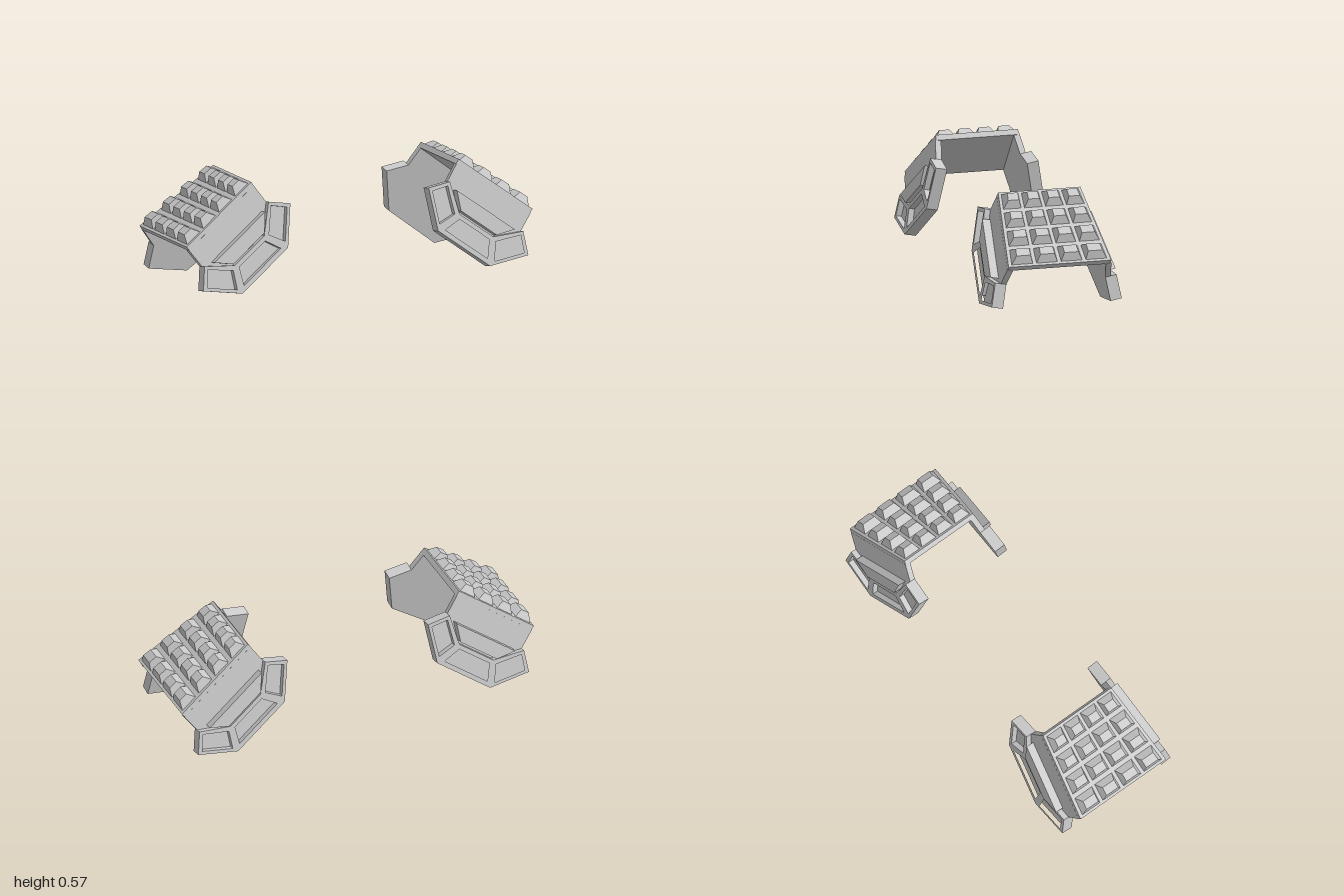
import * as THREE from 'three';

const material = new THREE.MeshStandardMaterial({ color: 0xcccccc, flatShading: true });
const LEAN = 0.187; // outward lean of the side walls
const DIR = [0.805, -0.593]; // slope of the top plate in x, y

// Plate coordinates (along slope u, outward n) to x, y
const toXY = (u, n) => [0.8 + DIR[0] * u - DIR[1] * n, 0.4175 + DIR[1] * u + DIR[0] * n];
const halfWidth = (y) => 0.3265 - LEAN * y;

function addMesh(parent, geometry, name) {
  const mesh = new THREE.Mesh(geometry, material);
  mesh.name = name;
  parent.add(mesh);
}

// Closed block between two four-cornered rings
function block(a, b) {
  const pos = [];
  const quad = (p, q, r, s) => pos.push(...p, ...q, ...r, ...p, ...r, ...s);
  for (let i = 0; i < 4; i++) {
    const j = (i + 1) % 4;
    quad(a[i], a[j], b[j], b[i]);
  }
  quad(...b);
  quad(a[3], a[2], a[1], a[0]);
  const g = new THREE.BufferGeometry();
  g.setAttribute('position', new THREE.Float32BufferAttribute(pos, 3));
  g.computeVertexNormals();
  return g;
}

// Ring at height n; z limits are fractions of the tapering plate width plus a margin
function ring(u0, u1, n, f0, f1, margin) {
  const corner = (u, f, m) => {
    const [x, y] = toXY(u, n);
    return [x, y, f * halfWidth(y) + m];
  };
  return [corner(u0, f0, margin), corner(u0, f1, -margin), corner(u1, f1, -margin), corner(u1, f0, margin)];
}

// Half outlines given for u > 0 are completed by mirroring
const mirrored = (half) => [...half, ...half.map(([u, n]) => [-u, n]).reverse()];
const flip = (pts) => pts.map(([u, n]) => [-u, n]);

const WALL = mirrored([[0.248, -0.02], [0.247, -0.13], [0.335, -0.22], [0.175, -0.38]]);
const FRAME = mirrored([[0.113, -0.243], [0.247, -0.13], [0.335, -0.22], [0.175, -0.38]]);
const PANEL = mirrored([[0.195, -0.15], [0.12, -0.228]]);
const END_WINDOW = [[0.245, -0.155], [0.308, -0.222], [0.185, -0.345], [0.137, -0.257]];
const MID_WINDOW = mirrored([[0.1, -0.266], [0.142, -0.355]]);

// Leaning slab from depth w0 to w1, on the front (side 1) or back (side -1)
function slab(outline, holes, w0, w1, side) {
  const points = (pts) => pts.map(([u, n]) => {
    const [x, y] = toXY(u, n);
    return new THREE.Vector2(side * x, y);
  });
  const shape = new THREE.Shape(points(outline));
  for (const hole of holes) shape.holes.push(new THREE.Path(points(hole)));
  const g = new THREE.ExtrudeGeometry(shape, { depth: w1 - w0, bevelEnabled: false });
  g.translate(0, 0, w0);
  g.applyMatrix4(new THREE.Matrix4().set(
    1, 0, 0, 0,
    0, 1, LEAN, -0.008,
    0, -LEAN, 1, 0.2975,
    0, 0, 0, 1));
  if (side < 0) g.rotateY(Math.PI);
  g.computeVertexNormals();
  return g;
}

function createGuard(name) {
  const guard = new THREE.Group();
  guard.name = name;

  // Sloping top plate
  addMesh(guard, block(ring(-0.248, 0.248, -0.03, -1, 1, 0), ring(-0.248, 0.248, 0, -1, 1, 0)), 'topPlate');

  // Four by four grid of tapered studs
  for (let row = 0; row < 4; row++) {
    for (let col = 0; col < 4; col++) {
      const u = (row - 1.5) * 0.123;
      const f = (col - 1.5) * 0.485;
      addMesh(guard, block(
        ring(u - 0.05, u + 0.05, -0.002, f - 0.21, f + 0.21, 0),
        ring(u - 0.024, u + 0.024, 0.04, f - 0.21, f + 0.21, 0.018)), 'stud');
    }
  }

  // Side walls with raised window frame and centre panel
  for (const side of [1, -1]) {
    const label = side > 0 ? 'front' : 'back';
    addMesh(guard, slab(WALL, [], 0, 0.03, side), label + 'Wall');
    addMesh(guard, slab(FRAME, [END_WINDOW, MID_WINDOW, flip(END_WINDOW)], 0.03, 0.06, side), label + 'Frame');
    addMesh(guard, slab(PANEL, [], 0.03, 0.073, side), label + 'Panel');
  }
  return guard;
}

export function createModel() {
  const model = new THREE.Group();
  model.name = 'studdedGuards';
  const left = createGuard('leftGuard');
  const right = createGuard('rightGuard');
  right.rotation.y = Math.PI;
  model.add(left, right);
  return model;
}
